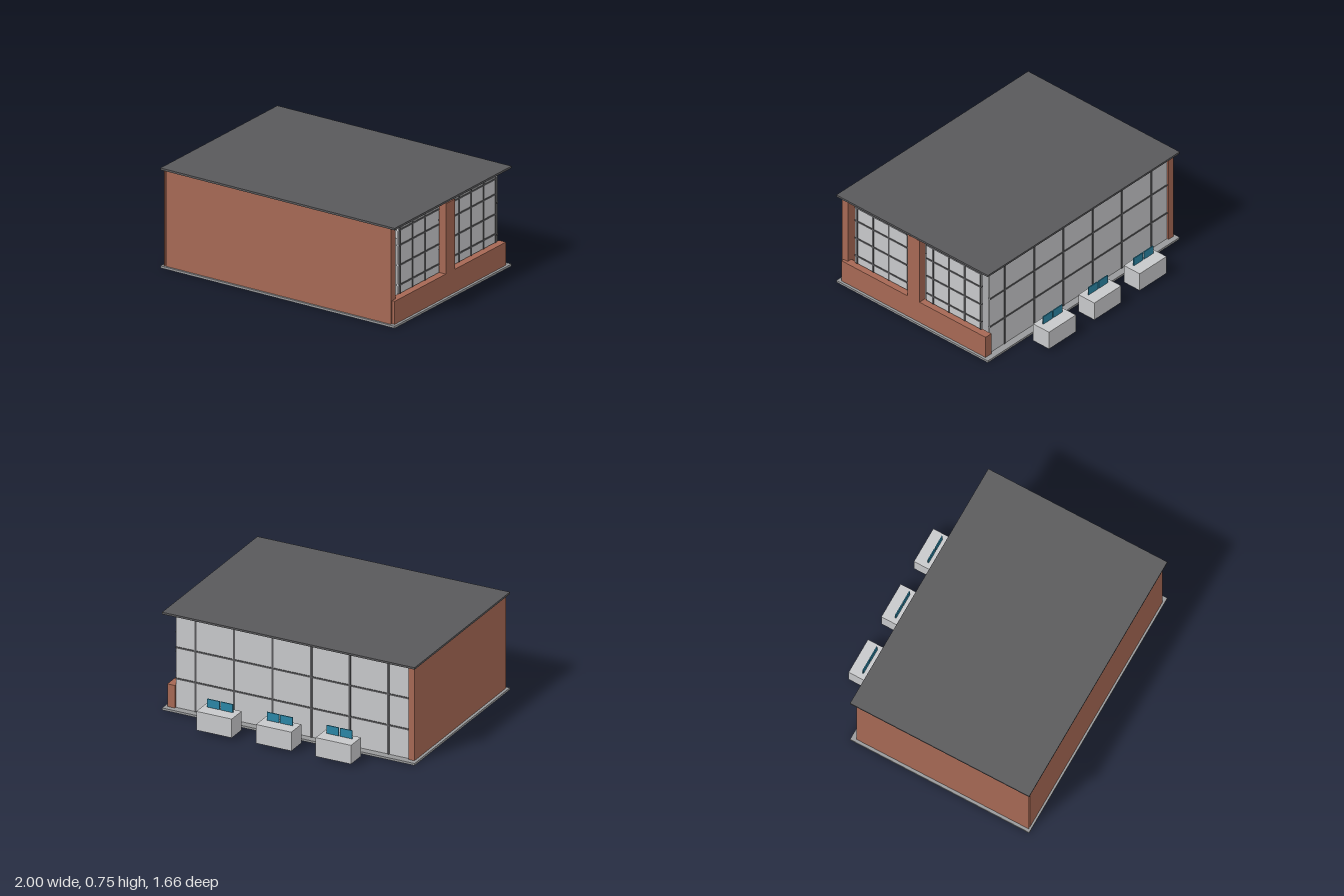
import * as THREE from 'three';

const mat = (name, color) => new THREE.MeshStandardMaterial({ name, color });

export function createModel() {
  const brick = mat('brick', 0xa66854);
  const dark = mat('darkGrey', 0x59595b);
  const glass = mat('paleGrey', 0xc7c8ca);
  const concrete = mat('concrete', 0x98999b);
  const blue = mat('screenBlue', 0x2b86a6);

  const model = new THREE.Group();
  model.name = 'building';

  // Box given by its minimum and maximum on each axis
  function box(name, material, x0, x1, y0, y1, z0, z1, parent = model) {
    const mesh = new THREE.Mesh(new THREE.BoxGeometry(x1 - x0, y1 - y0, z1 - z0), material);
    mesh.position.set((x0 + x1) / 2, (y0 + y1) / 2, (z0 + z1) / 2);
    mesh.name = name;
    parent.add(mesh);
    return mesh;
  }
  function group(name) {
    const g = new THREE.Group();
    g.name = name;
    model.add(g);
    return g;
  }

  // Slabs
  box('floorSlab', concrete, -1, 1, 0, 0.016, -0.605, 0.83);
  box('roofSlab', dark, -1, 1, 0.74, 0.755, -0.605, 0.83);

  // Solid walls: the side wall is an outer skin, an inner leaf and an end cap
  box('frontWall', brick, -0.963, 0.957, 0.016, 0.74, 0.76, 0.815);
  box('sideWallSkin', brick, -0.978, -0.974, 0.016, 0.74, -0.565, 0.815);
  box('sideWallInner', brick, -0.963, -0.93, 0.016, 0.74, -0.565, 0.76);
  const cap = new THREE.Mesh(new THREE.PlaneGeometry(0.015, 0.724), brick);
  cap.name = 'sideWallEnd';
  cap.rotation.y = Math.PI;
  cap.position.set(-0.9685, 0.378, -0.565);
  model.add(cap);

  // Low wall and pillar on the window side
  box('lowWall', brick, 0.92, 0.98, 0.016, 0.19, -0.565, 0.8);
  box('pillar', brick, 0.92, 0.98, 0.19, 0.72, 0.06, 0.173);

  // Side windows with their bars
  const bar = 0.006;
  function sideWindow(z0, z1, verticals) {
    const g = group('sideWindow');
    box('pane', glass, 0.935, 0.945, 0.205, 0.7, z0, z1, g);
    for (const z of verticals)
      box('verticalBar', dark, 0.93, 0.95, 0.205, 0.7, z - bar, z + bar, g);
    for (const y of [0.27, 0.42, 0.57, 0.685])
      box('horizontalBar', dark, 0.93, 0.95, y - bar, y + bar, z0, z1, g);
  }
  sideWindow(0.21, 0.705, [0.38, 0.53, 0.683]);
  sideWindow(-0.495, 0.025, [-0.485, -0.337, -0.187, -0.037]);

  // Glazed back wall
  const back = group('backGlazing');
  box('pane', glass, -0.93, 0.92, 0.016, 0.73, -0.55, -0.54, back);
  for (let i = 0; i < 6; i++) {
    const x = (i - 2.5) * 0.305;
    box('verticalBar', dark, x - 0.008, x + 0.008, 0.016, 0.73, -0.555, -0.535, back);
  }
  for (const y of [0.24, 0.48, 0.72])
    box('horizontalBar', dark, -0.93, 0.92, y - bar, y + bar, -0.555, -0.535, back);

  // Outdoor desks, each with a pair of screens
  for (const x of [-0.475, -0.002, 0.47]) {
    const g = group('desk');
    box('deskBody', glass, x - 0.14, x + 0.14, 0.02, 0.165, -0.83, -0.68, g);
    for (const s of [-0.053, 0.053])
      box('screen', blue, x + s - 0.048, x + s + 0.048, 0.17, 0.233, -0.741, -0.733, g);
  }

  // Furniture inside
  box('cabinet', dark, -0.6, -0.4, 0.016, 0.51, -0.06, 0.06);
  box('counter', glass, -0.8, 0.4, 0.016, 0.21, 0.58, 0.72);
  box('counterBack', glass, -0.8, 0.4, 0.21, 0.38, 0.7, 0.72);
  box('shelf', dark, -0.8, 0.4, 0.494, 0.5, 0.7, 0.76);

  return model;
}
